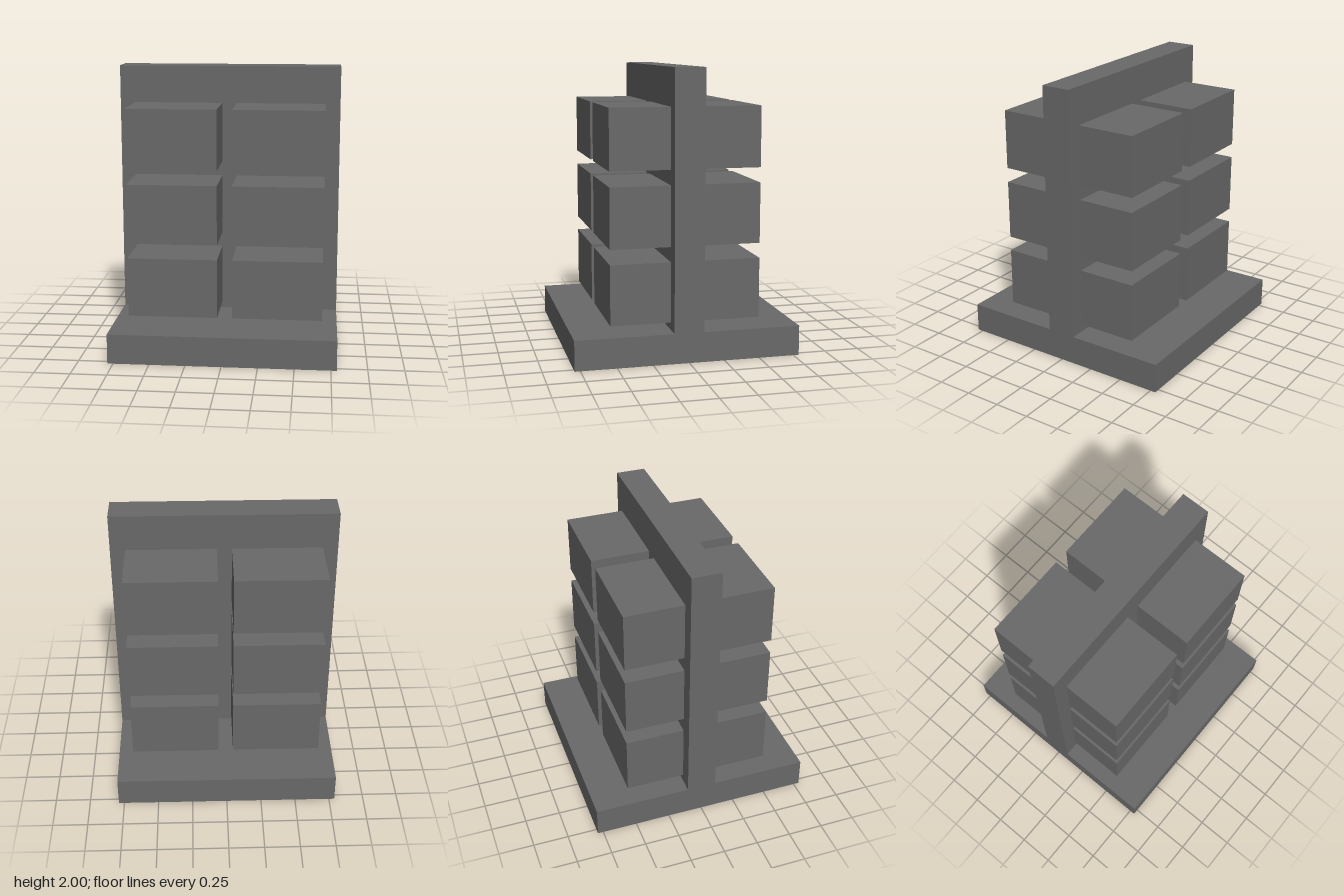
import * as THREE from 'three';

// The design sits on a whole-number grid, 38 steps tall
const U = 2 / 38;

export function createModel() {
  const model = new THREE.Group();
  model.name = 'doubleSidedBinStand';
  const darkGrey = new THREE.MeshStandardMaterial({ color: 0x696969 });
  darkGrey.name = 'darkGrey';

  // Box given by its size and the position of its bottom centre, in grid steps
  function addBox(name, w, h, d, x, y, z) {
    const mesh = new THREE.Mesh(new THREE.BoxGeometry(w * U, h * U, d * U), darkGrey);
    mesh.position.set(x * U, (y + h / 2) * U, z * U);
    mesh.name = name;
    model.add(mesh);
  }

  // Square base and upright panel
  addBox('base', 30, 4, 30, 0, 0, 0);
  addBox('uprightPanel', 30, 34, 4, 0, 4, 0);

  // Three rows of two bins on each side of the panel
  for (const [side, sz] of [['front', 1], ['back', -1]]) {
    for (const [hand, sx] of [['Left', 1], ['Right', -1]]) {
      for (let row = 0; row < 3; row++) {
        addBox(`${side}${hand}Bin${row + 1}`, 12, 8, 8, sx * 7, 5 + row * 10, sz * 6);
      }
    }
  }
  return model;
}
